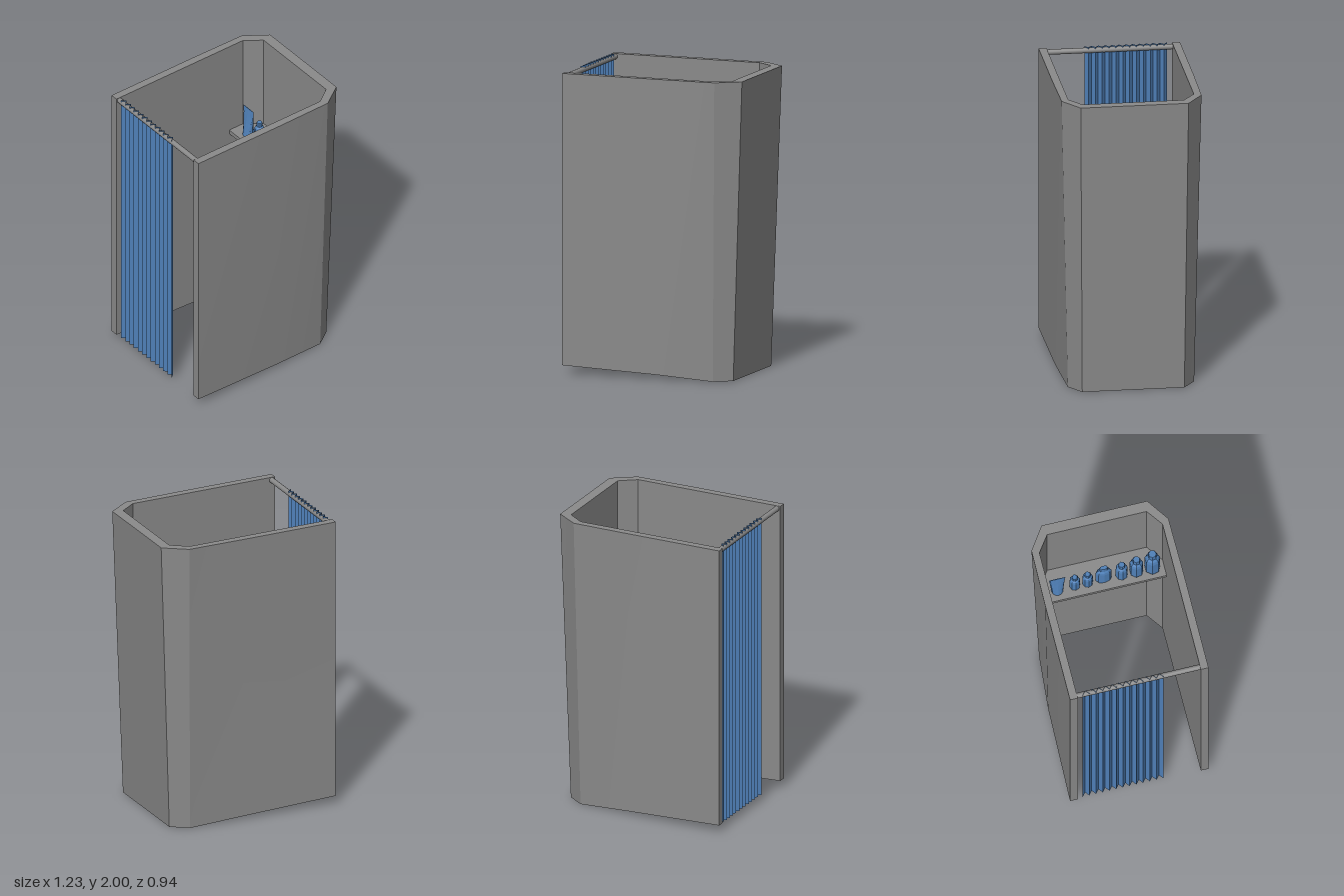
import * as THREE from 'three';
import { toCreasedNormals } from 'three/addons/utils/BufferGeometryUtils.js';

const grey = new THREE.MeshStandardMaterial({ color: 0x8a8a8a, side: THREE.DoubleSide });
const blue = new THREE.MeshStandardMaterial({ color: 0x4f80b8, flatShading: true, side: THREE.DoubleSide });

function add(parent, name, geometry, material) {
  const mesh = new THREE.Mesh(geometry, material);
  mesh.name = name;
  parent.add(mesh);
  return mesh;
}

function fromQuads(quads) {
  const pos = [];
  for (const [a, b, c, d] of quads) pos.push(...a, ...b, ...c, ...a, ...c, ...d);
  const g = new THREE.BufferGeometry();
  g.setAttribute('position', new THREE.Float32BufferAttribute(pos, 3));
  return toCreasedNormals(g, 0.3);
}

// C-shaped shell: stations run along the +z side, then mirror back along -z.
// Outside tapers to a thin lower edge; inside is upright.
function shellGeometry() {
  const H = 1.995;
  // outer top x,z; outer bottom x,z; inner x,z; bottom height
  const half = [
    [-0.613, 0.468, -0.613, 0.468, -0.613, 0.416, 0.056],
    [0.06, 0.468, 0.06, 0.45, 0.06, 0.416, 0.028],
    [0.46, 0.463, 0.432, 0.418, 0.432, 0.416, 0],
    [0.613, 0.357, 0.544, 0.338, 0.543, 0.336, 0],
  ];
  const station = ([tx, tz, bx, bz, ix, iz, y], side) => ({
    ot: [tx, H, tz * side], ob: [bx, y, bz * side],
    it: [ix, H, iz * side], ib: [ix, y, iz * side],
  });
  const st = [...half.map(s => station(s, 1)), ...half.map(s => station(s, -1)).reverse()];
  const quads = [];
  for (let i = 0; i < st.length - 1; i++) {
    const a = st[i], b = st[i + 1];
    quads.push([a.ob, b.ob, b.ot, a.ot], [b.ib, a.ib, a.it, b.it],
      [a.ot, b.ot, b.it, a.it], [b.ob, a.ob, a.ib, b.ib]);
  }
  const s = st[0], e = st[st.length - 1];
  quads.push([s.ib, s.ob, s.ot, s.it], [e.ob, e.ib, e.it, e.ot]);
  return fromQuads(quads);
}

// Pleated sheet hanging from the rail
function curtainGeometry() {
  const folds = 24, z0 = -0.38, z1 = 0.165, quads = [];
  const p = (i, y) => [-0.588 + (i % 2 ? 0.014 : -0.014), y, z0 + (z1 - z0) * i / folds];
  for (let i = 0; i < folds; i++) quads.push([p(i, 0.045), p(i + 1, 0.045), p(i + 1, 2), p(i, 2)]);
  return fromQuads(quads);
}

// Bottle: body, shoulder, neck and cap
function bottleGeometry(r, h, sides) {
  const profile = [[0, 0], [0.9, 0], [1, 0.05], [1, 0.66], [0.85, 0.76], [0.55, 0.82], [0.55, 0.98], [0.5, 1], [0, 1]];
  return new THREE.LatheGeometry(profile.map(([x, y]) => new THREE.Vector2(x * r, y * h)), sides);
}

// Squeeze tube: round at the cap, pinched to a ridge along z at the top
function tubeGeometry(r, h) {
  const g = new THREE.CylinderGeometry(r, r, h, 12, 4).translate(0, h / 2, 0);
  const p = g.attributes.position;
  for (let i = 0; i < p.count; i++) {
    const t = p.getY(i) / h;
    p.setX(i, p.getX(i) * (1 - 0.95 * t));
    p.setZ(i, p.getZ(i) * (1 + 0.4 * t));
  }
  return g;
}

export function createModel() {
  const model = new THREE.Group();
  add(model, 'cubicleWalls', shellGeometry(), grey);

  // Curtain rail and curtain
  const rail = add(model, 'curtainRail', new THREE.CylinderGeometry(0.018, 0.018, 0.832, 16), grey);
  rail.rotation.x = Math.PI / 2;
  rail.position.set(-0.588, 1.975, 0);
  add(model, 'curtain', curtainGeometry(), blue);

  // Shelf across the closed end
  const shelfY = 1.31;
  const outline = [[0.32, -0.416], [0.432, -0.416], [0.543, -0.336], [0.543, 0.336], [0.432, 0.416], [0.32, 0.416]];
  const shape = new THREE.Shape(outline.map(([x, z]) => new THREE.Vector2(x, z)));
  const shelf = add(model, 'shelf', new THREE.ExtrudeGeometry(shape, { depth: 0.03, bevelEnabled: false }), grey);
  shelf.rotation.x = Math.PI / 2;
  shelf.position.y = shelfY;

  // Row of toiletries: z, radius, height, sides, x squash, z stretch
  const toiletries = new THREE.Group();
  toiletries.name = 'toiletries';
  toiletries.position.set(0.394, shelfY, 0);
  model.add(toiletries);
  const bottles = [
    [0.338, 0.052, 0.265, 7, 1, 1],
    [0.23, 0.046, 0.23, 7, 1, 1],
    [0.13, 0.04, 0.2, 8, 1, 1],
    [0.008, 0.04, 0.22, 8, 0.7, 1.35],
    [-0.1, 0.035, 0.17, 8, 1, 1],
    [-0.187, 0.035, 0.17, 8, 1, 1],
  ];
  for (const [z, r, h, sides, sx, sz] of bottles) {
    const b = add(toiletries, 'bottle', bottleGeometry(r, h, sides), blue);
    b.position.z = z;
    b.scale.set(sx, 1, sz);
  }
  add(toiletries, 'squeezeTube', tubeGeometry(0.039, 0.21), blue).position.z = -0.305;

  return model;
}
